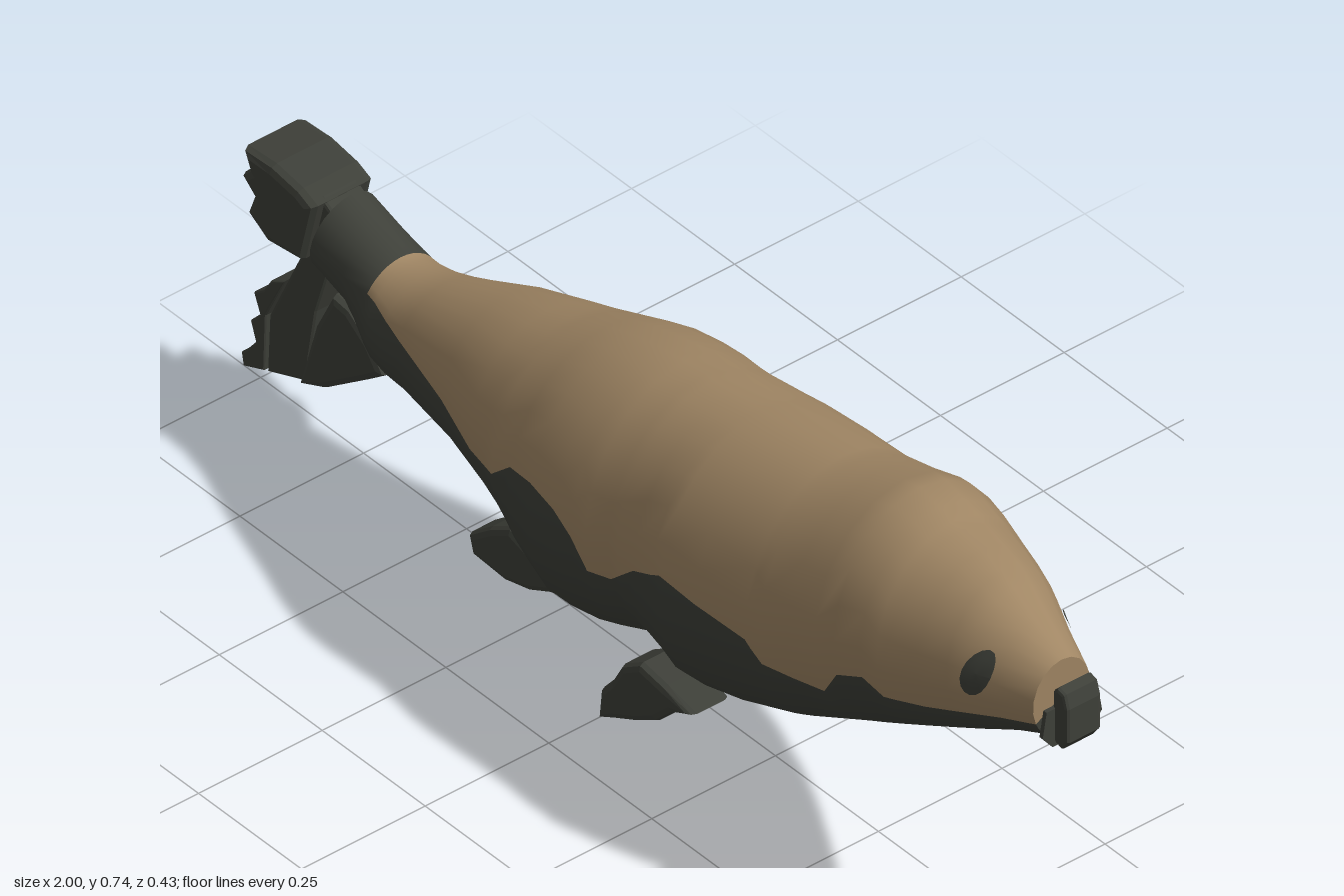
import * as THREE from 'three';

const tan = new THREE.MeshStandardMaterial({ color: 0xa08664 });
tan.name = 'tan coat';
const dark = new THREE.MeshStandardMaterial({ color: 0x3e4039 });
dark.name = 'dark skin';

// Body stations: x, and then top, bottom, half-width
const stationX = [-0.8, -0.72, -0.64, -0.55, -0.4, -0.25, -0.1, 0, 0.1, 0.2, 0.3, 0.42, 0.5, 0.6, 0.7, 0.8, 0.88, 0.945];
const stationV = [
  0.49, 0.33, 0.065,  0.46, 0.31, 0.07,  0.435, 0.24, 0.088,  0.455, 0.24, 0.103,
  0.52, 0.222, 0.135,  0.565, 0.185, 0.175,  0.62, 0.102, 0.213,  0.64, 0.125, 0.207,
  0.65, 0.16, 0.197,  0.658, 0.135, 0.213,  0.672, 0.155, 0.207,  0.685, 0.2, 0.195,
  0.705, 0.24, 0.187,  0.735, 0.29, 0.175,  0.71, 0.34, 0.148,  0.688, 0.39, 0.113,
  0.64, 0.432, 0.08,  0.602, 0.46, 0.058,
];
// Height of the line where the coat meets the dark belly
const lineX = [-0.8, -0.66, -0.6, -0.4, -0.3, -0.22, -0.16, -0.1, -0.04, 0, 0.03, 0.08, 0.15, 0.22, 0.3, 0.41, 0.44, 0.56, 0.6, 0.65, 0.68, 0.75, 0.83, 0.945];
const lineY = [0.4, 0.4, 0.39, 0.38, 0.355, 0.365, 0.42, 0.43, 0.415, 0.385, 0.33, 0.34, 0.405, 0.44, 0.43, 0.42, 0.385, 0.39, 0.45, 0.47, 0.44, 0.45, 0.47, 0.5];
const profile = new THREE.CubicInterpolant(stationX, stationV, 3);
const coatLine = new THREE.LinearInterpolant(lineX, lineY, 1);

function section(x) {
  const [top, bottom, w] = profile.evaluate(x);
  return { c: (top + bottom) / 2, h: (top - bottom) / 2, w };
}

// Lofted body: each ring has its upper arc above the coat line, its lower arc below
function makeBody() {
  const xs = [...new Set([...stationX, ...lineX])].sort((a, b) => a - b);
  const N = 12, R = 2 * N, pos = [], upper = [], lower = [];
  const addRing = (x) => {
    const { c, h, w } = section(x);
    const a = Math.asin(THREE.MathUtils.clamp((coatLine.evaluate(x)[0] - c) / h, -0.97, 0.97));
    for (let j = 0; j < R; j++) {
      const t = j < N ? a + (Math.PI - 2 * a) * j / N
        : Math.PI - a + (Math.PI + 2 * a) * (j - N) / N;
      const y = c + h * Math.sin(t);
      const slant = x < -0.7 ? (y - c) * 0.25 * (-0.7 - x) / 0.1 : 0;
      pos.push(x + slant, y, w * Math.cos(t));
    }
  };
  xs.forEach(addRing);
  for (let i = 0; i < xs.length - 1; i++) {
    for (let j = 0; j < R; j++) {
      const k = (j + 1) % R;
      const a = i * R + j, b = a + R, c = (i + 1) * R + k, d = i * R + k;
      (j < N && xs[i] > -0.665 ? upper : lower).push(a, b, c, a, c, d);
    }
  }
  // End caps with their own vertices, for crisp rims
  for (const x of [xs[0], xs[xs.length - 1]]) {
    const base = pos.length / 3, s = section(x), front = x > 0;
    addRing(x);
    pos.push(x, s.c, 0);
    for (let j = 0; j < R; j++) {
      const a = base + j, b = base + (j + 1) % R, m = base + R;
      (front && j < N ? upper : lower).push(...(front ? [m, b, a] : [m, a, b]));
    }
  }
  const geo = new THREE.BufferGeometry();
  geo.setAttribute('position', new THREE.Float32BufferAttribute(pos, 3));
  geo.setIndex([...upper, ...lower]);
  geo.addGroup(0, upper.length, 0);
  geo.addGroup(upper.length, lower.length, 1);
  geo.computeVertexNormals();
  const body = new THREE.Mesh(geo, [tan, dark]);
  body.name = 'body';
  return body;
}

// Side-outline slab with rounded edges, centred on z
function slab(name, points, width, z = 0, bevel = 0.012) {
  const shape = new THREE.Shape(points.map(([x, y]) => new THREE.Vector2(x, y)));
  const geo = new THREE.ExtrudeGeometry(shape, {
    depth: width - 2 * bevel, bevelThickness: bevel, bevelSize: bevel,
    bevelOffset: -bevel, bevelSegments: 2,
  });
  geo.translate(0, 0, z - width / 2 + bevel);
  const mesh = new THREE.Mesh(geo, dark);
  mesh.name = name;
  return mesh;
}

// Thin oval laid on the curved side of the head
function makeEye(side) {
  const geo = new THREE.RingGeometry(0, 1, 16, 3);
  const p = geo.attributes.position;
  for (let i = 0; i < p.count; i++) {
    const u = p.getX(i), v = p.getY(i);
    const x = 0.85 + 0.023 * u + 0.01 * v, y = 0.563 + 0.044 * v;
    const { c, h, w } = section(x);
    p.setXYZ(i, x, y, w * Math.sqrt(Math.max(0, 1 - ((y - c) / h) ** 2)) + 0.004);
  }
  geo.computeVertexNormals();
  const eye = new THREE.Mesh(geo, dark);
  eye.scale.z = side;
  eye.name = side > 0 ? 'rightEye' : 'leftEye';
  return eye;
}

export function createModel() {
  const group = new THREE.Group();
  group.add(makeBody());

  // Nose block and the thin pads beside it
  group.add(slab('nose', [[0.965, 0.472], [0.965, 0.57], [0.975, 0.58], [0.992, 0.575], [1, 0.55], [1, 0.485], [0.985, 0.465]], 0.07, 0, 0.006));
  const padShape = new THREE.Shape([[-0.04, 0.465], [0.04, 0.465], [0.06, 0.49], [0.052, 0.538], [-0.052, 0.538], [-0.06, 0.49]]
    .map(([x, y]) => new THREE.Vector2(x, y)));
  const pads = new THREE.Mesh(new THREE.ExtrudeGeometry(padShape, { depth: 0.008, bevelEnabled: false }), dark);
  pads.rotation.y = Math.PI / 2;
  pads.position.x = 0.963;
  pads.name = 'muzzlePads';
  group.add(pads);

  // Paired eyes and flippers
  const frontOutline = [[0, 0], [0.04, 0.02], [0.09, 0.045], [0.14, 0.075], [0.18, 0.115], [0.23, 0.14], [0.16, 0.155], [0.1, 0.165], [0.055, 0.135], [0.03, 0.09], [0.005, 0.06]];
  const rearOutline = [[-0.37, 0.075], [-0.29, 0.07], [-0.23, 0.085], [-0.18, 0.11], [-0.13, 0.13], [-0.2, 0.155], [-0.28, 0.18], [-0.33, 0.15], [-0.38, 0.11]];
  for (const side of [1, -1]) {
    const label = side > 0 ? 'right' : 'left';
    group.add(makeEye(side));
    group.add(slab(label + 'FrontFlipper', frontOutline, 0.08, side * 0.113));
    group.add(slab(label + 'RearFlipper', rearOutline, 0.07, side * 0.065));
  }

  // Tail: ragged upper fluke, long slanted blade, toes and lower fluke
  group.add(slab('upperFluke', [[-0.83, 0.36], [-0.8, 0.48], [-0.835, 0.495], [-0.9, 0.505], [-0.97, 0.5], [-0.955, 0.465], [-0.975, 0.445], [-0.945, 0.42], [-0.96, 0.38], [-0.91, 0.35]], 0.13, 0, 0.015));
  group.add(slab('tailBlade', [[-0.94, 0.065], [-0.85, 0.1], [-0.825, 0.25], [-0.79, 0.36], [-0.785, 0.47], [-0.81, 0.485], [-0.86, 0.34], [-0.935, 0.18]], 0.075, 0, 0.006));
  group.add(slab('tailToes', [[-0.995, 0.045], [-0.946, 0.065], [-0.942, 0.175], [-0.895, 0.27], [-0.93, 0.25], [-0.945, 0.225], [-0.97, 0.205], [-0.955, 0.17], [-0.978, 0.145], [-0.965, 0.11], [-0.985, 0.085], [-1, 0.07]], 0.08, 0, 0.004));
  group.add(slab('lowerFluke', [[-0.85, 0.1], [-0.79, 0.125], [-0.73, 0.17], [-0.69, 0.2], [-0.645, 0.235], [-0.68, 0.28], [-0.73, 0.315], [-0.77, 0.32], [-0.81, 0.24]], 0.1));
  return group;
}
